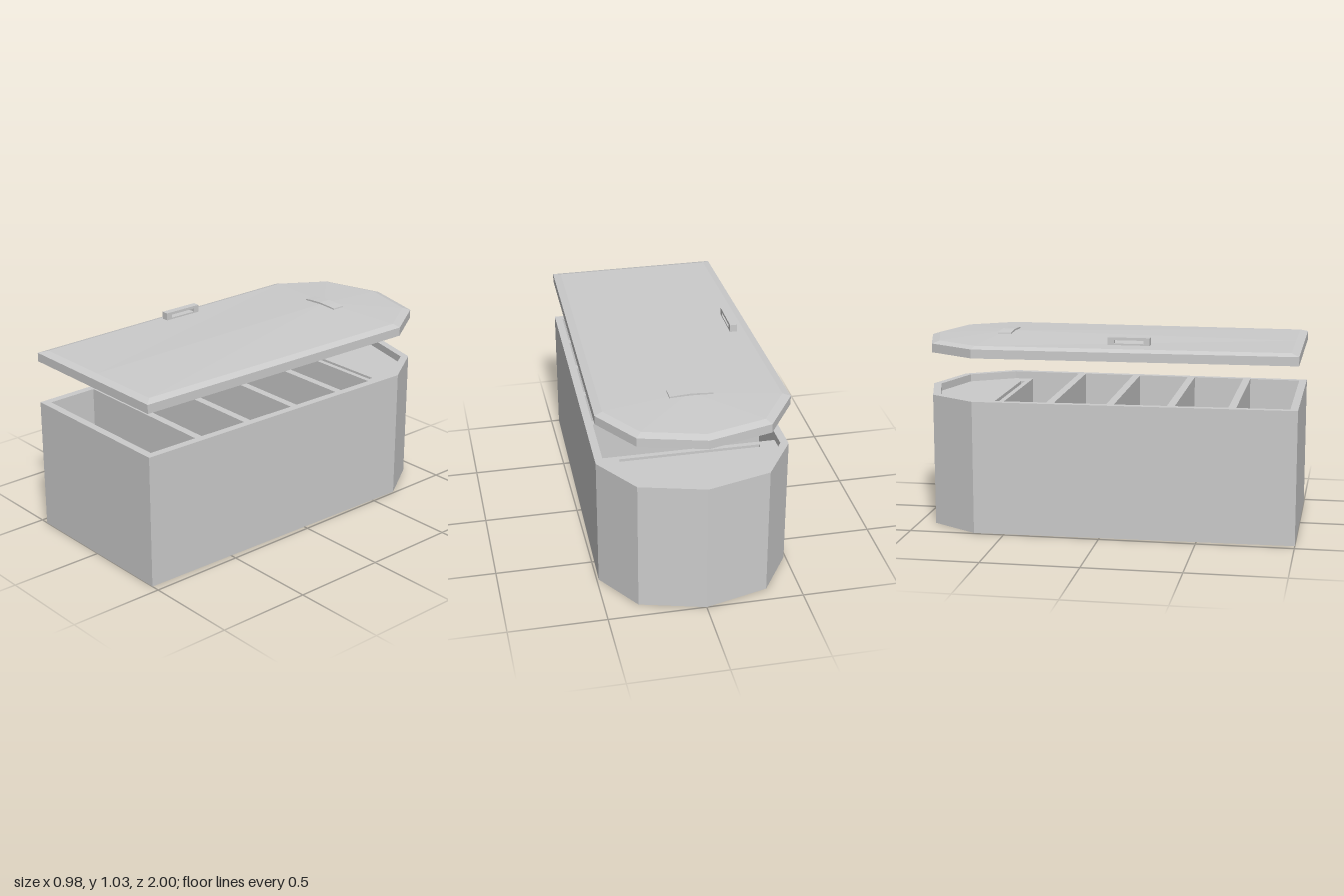
import * as THREE from 'three';

// plan outline as (x, -z), counter-clockwise seen from above
const OUTLINE = [[-0.455, -1], [0.455, -1], [0.49, 0.66], [0.33, 0.91], [0, 1], [-0.33, 0.91], [-0.49, 0.66]];
const WALL = 0.04;

const material = () => new THREE.MeshStandardMaterial({ color: 0xcccccc, flatShading: true });

// parallel inward offset of the outline
function inset(d) {
  const n = OUTLINE.length;
  return OUTLINE.map((p, i) => {
    const a = OUTLINE[(i + n - 1) % n], b = OUTLINE[(i + 1) % n];
    const normal = (u, v) => {
      const l = Math.hypot(v[0] - u[0], v[1] - u[1]);
      return [-(v[1] - u[1]) / l, (v[0] - u[0]) / l];
    };
    const m = normal(a, p), k = normal(p, b);
    const s = d / (1 + m[0] * k[0] + m[1] * k[1]);
    return [p[0] + (m[0] + k[0]) * s, p[1] + (m[1] + k[1]) * s];
  });
}

const vectors = (pts) => pts.map(([x, y]) => new THREE.Vector2(x, y));

// horizontal slab between two heights, with holes
function slab(name, y0, y1, holes = []) {
  const shape = new THREE.Shape(vectors(OUTLINE));
  holes.forEach((h) => shape.holes.push(new THREE.Path(vectors(h))));
  const geo = new THREE.ExtrudeGeometry(shape, { depth: y1 - y0, bevelEnabled: false });
  geo.rotateX(-Math.PI / 2).translate(0, y0, 0);
  const mesh = new THREE.Mesh(geo, material());
  mesh.name = name;
  return mesh;
}

// inner half width of the tapered box at s = -z
const innerHalf = (s) => 0.455 + ((s + 1) / 1.66) * 0.035 - WALL;

function createBox() {
  const box = new THREE.Group();
  box.name = 'compartmentBox';
  const cells = [];
  for (let i = 0; i < 5; i++) {
    const s0 = -0.96 + i * 0.31, s1 = s0 + 0.27;
    cells.push([[-innerHalf(s0), s0], [innerHalf(s0), s0], [innerHalf(s1), s1], [-innerHalf(s1), s1]]);
  }
  const slot = [[-0.36, 0.577], [0.36, 0.577], [0.36, 0.6], [-0.36, 0.6]];
  // last cell opens into the shallow recess at the head
  const headOpening = [cells[4][0], cells[4][1], ...inset(WALL).slice(2)];
  box.add(
    slab('boxFloor', 0, 0.04),
    slab('boxWallsAndDividers', 0.04, 0.655, [...cells, slot]),
    slab('boxRim', 0.655, 0.695, [...cells.slice(0, 4), headOpening])
  );
  return box;
}

// lid: straight sides, chamfered edge, low dome rising to a central spine
function createLid() {
  const n = OUTLINE.length;
  const ring = (pts, y) => pts.map(([x, s]) => new THREE.Vector3(x, y, -s));
  const bottom = ring(OUTLINE, 0.92);
  const edge = ring(OUTLINE, 0.966);
  const top = ring(inset(0.04), 0.979);
  const spine = top.map((p) => {
    const z = Math.max(p.z, -0.58);
    return new THREE.Vector3(0, 0.979 + 0.019 * ((0.96 - z) / 1.54), z);
  });
  const pos = [];
  const tri = (a, b, c) => [a, b, c].forEach((v) => pos.push(v.x, v.y, v.z));
  const rings = [bottom, edge, top, spine];
  for (let r = 0; r < rings.length - 1; r++) {
    const a = rings[r], b = rings[r + 1];
    for (let i = 0; i < n; i++) {
      const j = (i + 1) % n;
      tri(a[i], a[j], b[j]);
      if (b[i].distanceTo(b[j]) > 1e-6) tri(a[i], b[j], b[i]);
    }
  }
  for (let i = 1; i < n - 1; i++) tri(bottom[0], bottom[i + 1], bottom[i]);
  const geo = new THREE.BufferGeometry();
  geo.setAttribute('position', new THREE.Float32BufferAttribute(pos, 3));
  geo.computeVertexNormals();
  const mesh = new THREE.Mesh(geo, material());
  mesh.name = 'lid';
  return mesh;
}

// thin arched plate near the head of the lid
function createPlate() {
  const shape = new THREE.Shape(vectors([
    [-0.113, 0.983], [0.113, 0.983], [0.11, 1.0], [0.06, 1.004],
    [0, 1.007], [-0.06, 1.004], [-0.11, 1.0],
  ]));
  const geo = new THREE.ExtrudeGeometry(shape, { depth: 0.07, bevelEnabled: false });
  geo.translate(0, 0, -0.61);
  const mesh = new THREE.Mesh(geo, material());
  mesh.name = 'archedPlate';
  return mesh;
}

// rectangular pull handle with an opening through it
function createHandle() {
  const rect = (a, y0, b, y1) => vectors([[a, y0], [b, y0], [b, y1], [a, y1]]);
  const shape = new THREE.Shape(rect(-0.245, 0.992, -0.03, 1.031));
  shape.holes.push(new THREE.Path(rect(-0.213, 1.0, -0.062, 1.017)));
  const geo = new THREE.ExtrudeGeometry(shape, { depth: 0.038, bevelEnabled: false });
  geo.rotateY(Math.PI / 2).translate(-0.388, 0, 0);
  const mesh = new THREE.Mesh(geo, material());
  mesh.name = 'handle';
  return mesh;
}

export function createModel() {
  const model = new THREE.Group();
  model.name = 'taperedBoxWithLid';
  model.add(createBox(), createLid(), createPlate(), createHandle());
  return model;
}
